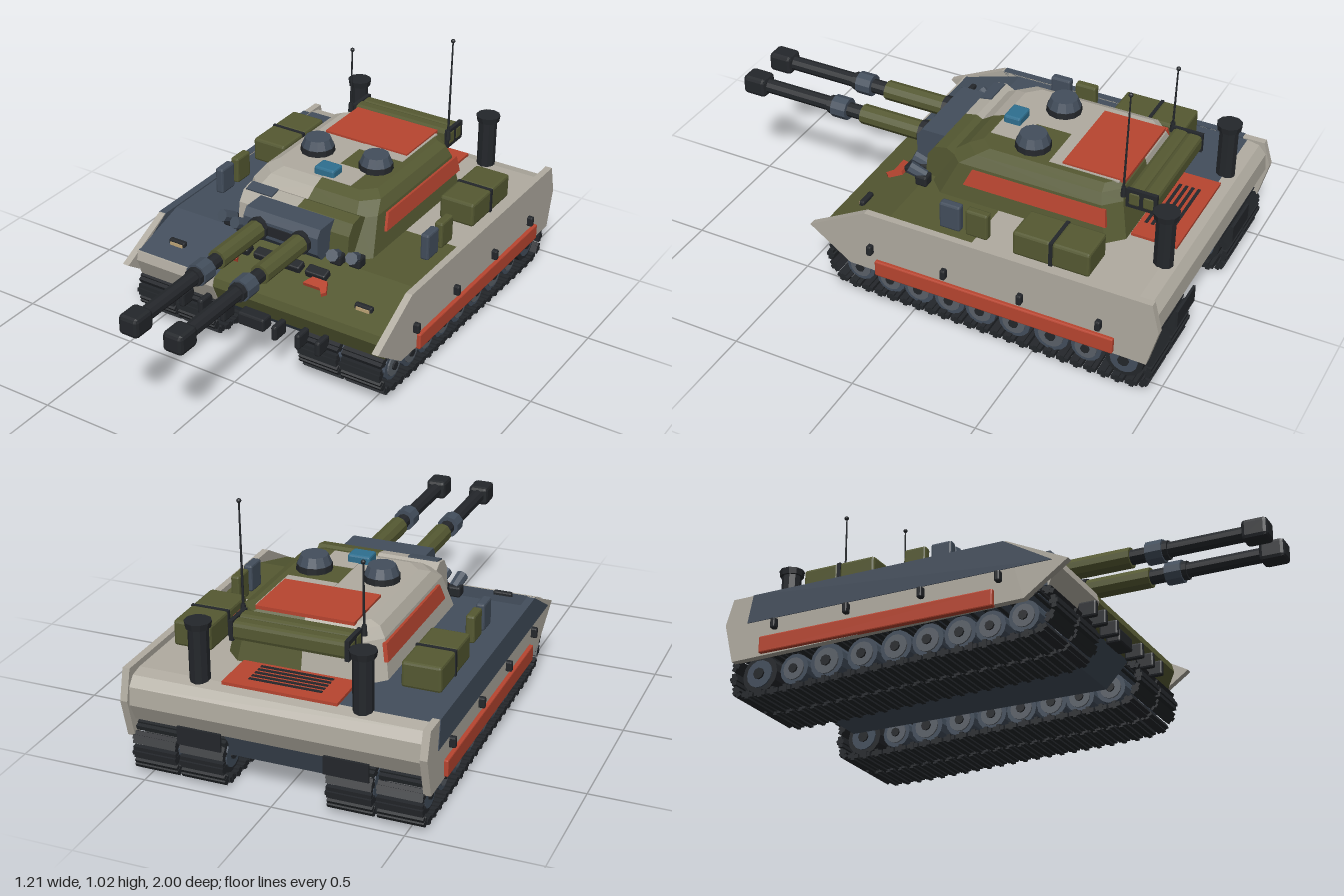
import * as THREE from 'three';
import { mergeGeometries } from 'three/addons/utils/BufferGeometryUtils.js';
import { RoundedBoxGeometry } from 'three/addons/geometries/RoundedBoxGeometry.js';

const paint = (color) => new THREE.MeshStandardMaterial({ color, flatShading: true });
const GREY = paint(0xb0aba0), OLIVE = paint(0x555932), BLUE = paint(0x434e5c), RED = paint(0xb84530);
const DARK = paint(0x24272b), STEEL = paint(0x5a6068), TEAL = paint(0x2f7090), TAN = paint(0xc0a678);

export function createModel() {
  const model = new THREE.Group();
  model.name = 'trackedVehicle';

  const add = (name, geo, mat, pos = [0, 0, 0], rot = [0, 0, 0]) => {
    const m = new THREE.Mesh(geo, mat);
    m.name = name;
    m.position.set(...pos);
    m.rotation.set(...rot);
    model.add(m);
    return m;
  };
  const box = (name, mat, size, pos, rot) => add(name, new THREE.BoxGeometry(...size), mat, pos, rot);
  const soft = (name, mat, size, pos, r = 0.012, rot) => add(name, new RoundedBoxGeometry(...size, 1, r), mat, pos, rot);
  const drum = (name, mat, rTop, rBottom, h, pos, rot, sides = 10) =>
    add(name, new THREE.CylinderGeometry(rTop, rBottom, h, sides), mat, pos, rot);
  // side profile of [z, y] points swept from x0 to x1
  const prism = (name, mat, pts, x0, x1) => {
    const g = new THREE.ExtrudeGeometry(new THREE.Shape(pts.map((p) => new THREE.Vector2(...p))),
      { depth: x1 - x0, bevelEnabled: false });
    g.rotateY(-Math.PI / 2).translate(x1, 0, 0);
    return add(name, g, mat);
  };
  const ALONG_Z = [Math.PI / 2, 0, 0], ALONG_X = [0, 0, Math.PI / 2];

  // hull, in camouflage blocks
  const glacis = [[-0.24, 0.22], [0.33, 0.22], [0.362, 0.295], [0.352, 0.33], [0.1, 0.405], [-0.24, 0.405]];
  const middle = [[-0.9, 0.22], [-0.24, 0.22], [-0.24, 0.405], [-0.9, 0.405]];
  const tail = [[-0.9, 0.2], [-0.9, 0.405], [-0.95, 0.395], [-0.98, 0.36], [-0.985, 0.29], [-0.95, 0.22]];
  prism('hullFrontRight', BLUE, glacis, -0.555, -0.19);
  prism('hullFrontLeft', OLIVE, glacis, -0.19, 0.555);
  prism('hullMiddleRight', BLUE, middle, -0.555, -0.2);
  prism('hullMiddleLeft', GREY, middle, -0.2, 0.555);
  prism('hullRear', GREY, tail, -0.565, 0.565);
  prism('nosePaint', GREY, [[0.33, 0.218], [0.335, 0.218], [0.366, 0.295], [0.356, 0.331], [0.33, 0.331]], -0.556, -0.19);
  prism('lowerHull', BLUE, [[0.22, 0.12], [0.32, 0.23], [-0.95, 0.23], [-0.9, 0.12]], -0.2, 0.2);
  box('trackBayRoof', BLUE, [1.08, 0.03, 1.2], [0, 0.215, -0.31]);

  // side skirts with red stripe and lugs
  for (const s of [-1, 1]) {
    const top = s > 0 ? 0.428 : 0.41;
    const skirt = [[0.25, 0.175], [0.42, 0.295], [0.18, top], [-0.97, top], [-1.0, 0.31], [-0.96, 0.155]];
    prism('skirt', GREY, skirt, s > 0 ? 0.552 : -0.58, s > 0 ? 0.58 : -0.552);
    soft('skirtStripe', RED, [0.025, 0.066, 0.97], [s * 0.583, 0.197, -0.35], 0.005);
    for (let i = 0; i < 4; i++) soft('skirtLug', DARK, [0.03, 0.042, 0.022], [s * 0.588, 0.273, 0.155 - i * 0.31], 0.006);
  }
  prism('skirtPaint', BLUE, [[0.36, 0.3], [0.17, 0.411], [-0.88, 0.411], [-0.9, 0.3]], -0.583, -0.552);

  // four tracks: belt, shoes and wheels
  const loop = new THREE.CatmullRomCurve3([[0.25, 0.052], [0.335, 0.1], [0.35, 0.165], [0.28, 0.212], [-0.3, 0.205], [-0.88, 0.195],
    [-0.955, 0.15], [-0.955, 0.07], [-0.88, 0.022], [-0.3, 0.036]].map(([z, y]) => new THREE.Vector3(0, y, z)), true, 'catmullrom', 0.4);
  const shoes = [], N = 52;
  for (let i = 0; i < N; i++) {
    const p = loop.getPointAt(i / N), t = loop.getTangentAt(i / N);
    const plate = new THREE.BoxGeometry(0.17, 0.018, 0.047);
    const cleat = new THREE.BoxGeometry(0.172, 0.032, 0.016);
    for (const g of [plate, cleat]) shoes.push(g.rotateX(-Math.atan2(t.y, t.z)).translate(0, p.y, p.z));
  }
  const beltGeo = mergeGeometries(shoes);
  const wheels = [[0.23, 0.13, 0.06], [0.1, 0.115, 0.06], [-0.02, 0.113, 0.064], [-0.15, 0.11, 0.064], [-0.28, 0.108, 0.064],
    [-0.42, 0.106, 0.064], [-0.57, 0.106, 0.07], [-0.71, 0.1, 0.06], [-0.86, 0.105, 0.075]];
  for (const x of [-0.47, -0.282, 0.282, 0.47]) {
    add('track', beltGeo, DARK, [x, 0, 0]);
    wheels.forEach(([z, y, r], i) => {
      drum('roadWheel', i === 8 ? DARK : BLUE, r, r, 0.13, [x, y, z], ALONG_X, 14);
      drum('wheelDisc', i === 8 ? BLUE : STEEL, r * 0.72, r * 0.72, 0.142, [x, y, z], ALONG_X, 14);
      drum('wheelHub', DARK, r * 0.3, r * 0.3, 0.156, [x, y, z], ALONG_X, 8);
    });
  }

  // deck fittings, mirrored
  for (const s of [-1, 1]) {
    for (const z of [-0.472, -0.628]) soft('stowageBox', OLIVE, [0.15, 0.1, 0.148], [s * 0.443, 0.455, z], 0.01);
    box('stowageStrap', DARK, [0.153, 0.1, 0.014], [s * 0.443, 0.455, -0.55]);
    soft('jerryCanFront', BLUE, [0.036, 0.11, 0.085], [s * 0.475, 0.458, -0.13], 0.008);
    soft('jerryCanRear', OLIVE, [0.036, 0.11, 0.09], [s * 0.475, 0.458, -0.24], 0.008);
    drum('exhaustStack', DARK, 0.038, 0.038, 0.22, [s * 0.31, 0.505, -0.9]);
    drum('exhaustCap', DARK, 0.05, 0.046, 0.025, [s * 0.31, 0.617, -0.9]);
    soft('headlightFrame', DARK, [0.075, 0.04, 0.022], [s * 0.425, 0.355, 0.262], 0.006);
    box('headlight', TAN, [0.058, 0.026, 0.01], [s * 0.425, 0.352, 0.272]);
    box('rearFlap', DARK, [0.17, 0.07, 0.01], [s * 0.28, 0.21, -0.985]);
    // arrow-shaped marker on the glacis
    const arrow = new THREE.Shape([[0.15, 0], [0.17, 0.04], [0.235, 0.04], [0.26, -0.01], [0.245, -0.025], [0.225, 0]]
      .map(([x, y]) => new THREE.Vector2(s * x, y)));
    add('glacisMarker', new THREE.ExtrudeGeometry(arrow, { depth: 0.018, bevelEnabled: false }), RED,
      [0, 0.358, 0.25], [-Math.PI / 2 + 0.29, 0, 0]);
    for (const x of [0.06, 0.175]) soft('visionBlock', DARK, [0.09, 0.035, 0.045], [s * x, 0.388, 0.19], 0.006, [0.29, 0, 0]);
    for (const x of [0.118, 0.222, 0.31]) soft('towHook', DARK, [0.024, 0.062, 0.075], [s * x, 0.215, 0.372], 0.008);
  }
  soft('frontHitch', DARK, [0.12, 0.055, 0.06], [0, 0.215, 0.36], 0.008);
  box('enginePanel', RED, [0.44, 0.012, 0.18], [0, 0.41, -0.825]);
  for (let i = 0; i < 5; i++) box('grilleSlat', DARK, [0.28, 0.01, 0.012], [0, 0.414, -0.76 - i * 0.025]);

  // turret: each half is a stack of half-octagon rings [y, halfWidth, back, front, corner]
  const rings = [[0.4, 0.31, -0.73, 0.07, 0.06], [0.55, 0.285, -0.7, 0.0, 0.06], [0.59, 0.262, -0.69, -0.06, 0.06], [0.608, 0.225, -0.675, -0.11, 0.05]]
    .map(([y, w, b, f, c]) => [[0, y, b], [w - c, y, b], [w, y, b + c], [w, y, f - c], [w - c, y, f], [0, y, f]]);
  const turretHalf = (s) => {
    const out = [];
    const tri = (a, b, c) => (s > 0 ? [a, b, c] : [a, c, b]).forEach(([x, y, z]) => out.push(s * x, y, z));
    for (let k = 0; k < 3; k++) for (let i = 0; i < 5; i++) {
      const l = rings[k], u = rings[k + 1];
      tri(l[i], u[i], u[i + 1]);
      tri(l[i], u[i + 1], l[i + 1]);
    }
    for (let i = 1; i < 5; i++) tri(rings[3][0], rings[3][i + 1], rings[3][i]);
    const g = new THREE.BufferGeometry();
    g.setAttribute('position', new THREE.Float32BufferAttribute(out, 3));
    g.computeVertexNormals();
    return g;
  };
  add('turretRight', turretHalf(-1), GREY);
  add('turretLeft', turretHalf(1), OLIVE);
  box('roofPaint', GREY, [0.13, 0.006, 0.13], [0.065, 0.607, -0.18]);
  box('roofPaintRear', GREY, [0.2, 0.006, 0.28], [0.1, 0.607, -0.53]);
  box('roofPanel', RED, [0.38, 0.014, 0.25], [0, 0.61, -0.565]);
  const cheek = [[-0.03, 0.41], [0.1, 0.43], [0.09, 0.52], [0.06, 0.562], [0.01, 0.572], [-0.03, 0.55]];
  prism('collarRight', GREY, cheek, -0.25, 0);
  prism('collarLeft', OLIVE, cheek, 0, 0.25);
  box('collarPaint', BLUE, [0.12, 0.006, 0.05], [-0.18, 0.57, 0.034], [0.2, 0, 0]);

  for (const s of [-1, 1]) {
    // tapered red side stripe lying on the sloped turret wall
    const stripe = new THREE.Shape([[-0.67, -0.035], [-0.09, -0.035], [-0.12, 0.032], [-0.66, 0.032]].map((p) => new THREE.Vector2(...p)));
    const sg = new THREE.ExtrudeGeometry(stripe, { depth: 0.016, bevelEnabled: false }).rotateY(-Math.PI / 2).translate(0.008, 0, 0);
    add('turretStripe', sg, RED, [s * 0.296, 0.508, 0], [0, 0, s * 0.17]);
    // hatches
    drum('hatchRing', DARK, 0.068, 0.07, 0.03, [s * 0.135, 0.617, -0.295], undefined, 12);
    drum('hatchDome', BLUE, 0.052, 0.066, 0.036, [s * 0.135, 0.65, -0.295], undefined, 12);
    // smoke dischargers
    for (const [x, z] of [[0.215, 0.135], [0.288, 0.115]]) {
      drum('smokeTube', BLUE, 0.025, 0.022, 0.07, [s * x, 0.455, z], [1.1, 0, -s * 0.2], 8);
      soft('smokeBase', DARK, [0.05, 0.045, 0.05], [s * x, 0.43, z - 0.025], 0.008);
    }
    // gun: [radius, start, end, material]
    const x = s * 0.096, y = 0.497;
    for (const [r, a, b, mat] of [[0.046, 0.14, 0.2, DARK], [0.04, 0.18, 0.46, OLIVE], [0.029, 0.44, 0.92, DARK], [0.045, 0.525, 0.59, BLUE], [0.037, 0.58, 0.61, DARK]])
      drum('gunBarrel', mat, r, r, b - a, [x, y, (a + b) / 2], ALONG_Z);
    soft('muzzleBrake', DARK, [0.084, 0.08, 0.1], [x, y, 0.948], 0.015);
    // antenna
    const h = s > 0 ? 0.42 : 0.265;
    drum('antenna', DARK, 0.003, 0.005, h, [s * 0.232, 0.595 + h / 2, -0.705], [-0.02, 0, 0], 6);
    drum('antennaBase', DARK, 0.009, 0.012, 0.04, [s * 0.232, 0.6, -0.702], undefined, 8);
    add('antennaTip', new THREE.IcosahedronGeometry(0.009, 1), DARK, [s * 0.232, 0.595 + h, -0.709]);
    // rack straps
    box('rackStrap', DARK, [0.016, 0.078, 0.12], [s * 0.22, 0.573, -0.77]);
  }
  const mantlet = [[0.06, 0.43], [0.15, 0.425], [0.182, 0.46], [0.182, 0.53], [0.16, 0.56], [0.06, 0.56]];
  prism('mantlet', BLUE, mantlet, -0.168, 0.168);
  box('mantletSlot', DARK, [0.2, 0.04, 0.01], [0, 0.497, 0.182]);
  soft('periscope', TEAL, [0.09, 0.04, 0.07], [0, 0.62, -0.16], 0.008);

  // rear stowage rolls
  soft('stowageRollUpper', OLIVE, [0.46, 0.074, 0.062], [0, 0.573, -0.742], 0.016);
  soft('stowageRollRear', OLIVE, [0.46, 0.07, 0.062], [0, 0.571, -0.797], 0.016);
  box('rackBracket', DARK, [0.4, 0.02, 0.1], [0, 0.537, -0.73]);

  return model;
}
